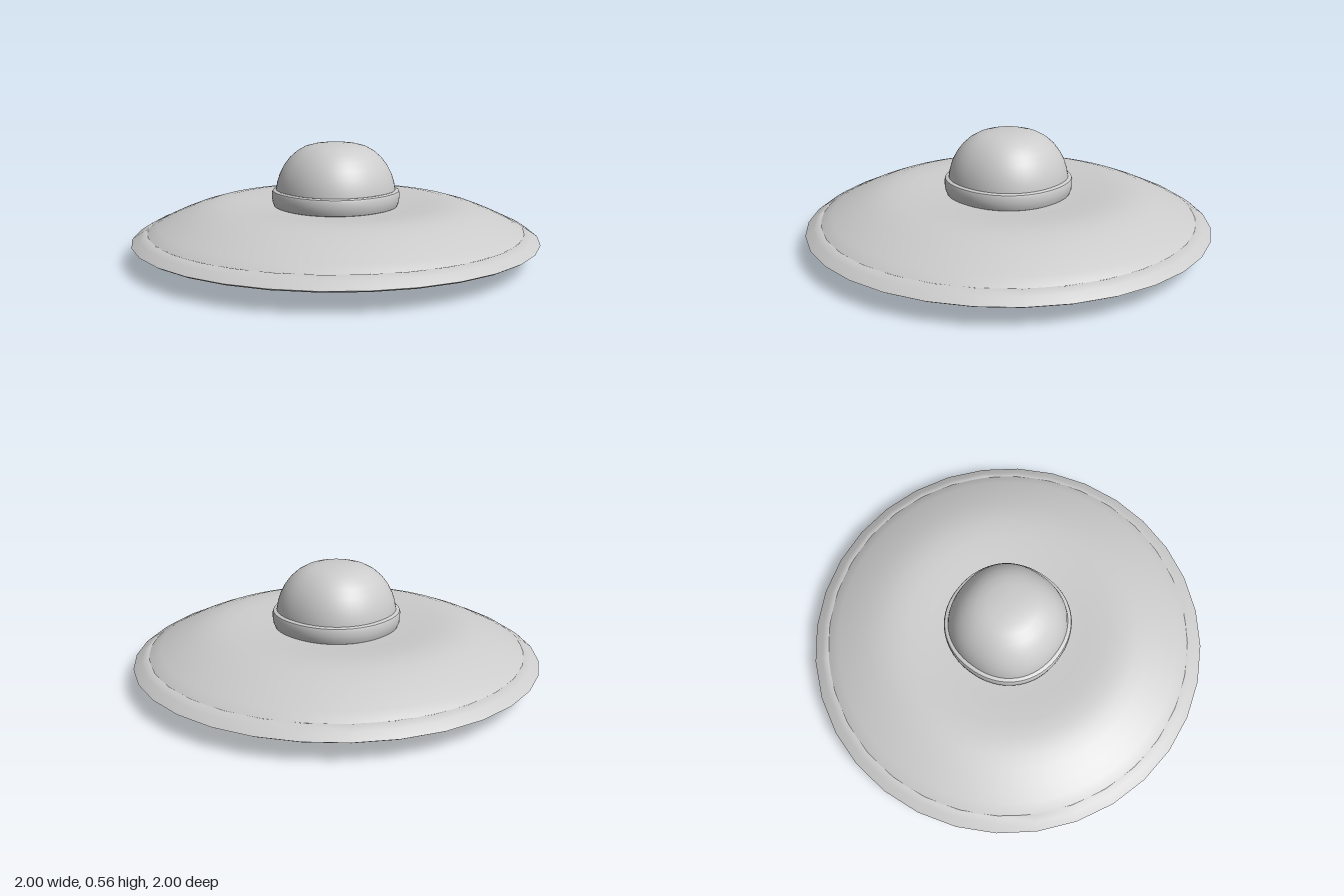
import * as THREE from 'three';
import { toCreasedNormals } from 'three/addons/utils/BufferGeometryUtils.js';

const material = new THREE.MeshStandardMaterial({ color: 0xcccccc });

// Turn a bottom-to-top profile of [radius, y]; a power above 2 squares the plan slightly.
function turned(name, profile, sides, power = 2, crease = 0.6) {
  const points = profile.map(([r, y]) => new THREE.Vector2(r, y));
  const geometry = new THREE.LatheGeometry(points, sides);
  const pos = geometry.attributes.position;
  if (power !== 2) {
    for (let i = 0; i < pos.count; i++) {
      const x = pos.getX(i), z = pos.getZ(i), r = Math.hypot(x, z);
      if (r < 1e-6) continue;
      const k = (Math.abs(x / r) ** power + Math.abs(z / r) ** power) ** (-1 / power);
      pos.setXYZ(i, x * k, pos.getY(i), z * k);
    }
  }
  const mesh = new THREE.Mesh(toCreasedNormals(geometry, crease), material);
  mesh.name = name;
  return mesh;
}

export function createModel() {
  const saucer = new THREE.Group();
  saucer.name = 'flyingSaucer';

  // Wide disc: nearly flat belly, domed shoulder, shallow dip around the cockpit
  saucer.add(turned('hull', [
    [0, 0.066], [0.3, 0.066], [0.6, 0.066], [0.75, 0.069], [0.87, 0.077], [0.95, 0.095],
    [0.955, 0.115], [0.93, 0.142], [0.87, 0.173], [0.8, 0.205], [0.72, 0.236],
    [0.65, 0.256], [0.58, 0.266], [0.5, 0.265], [0.4, 0.257], [0.3, 0.248], [0, 0.246],
  ], 64));

  // Faceted edge band wrapping the disc
  saucer.add(turned('rim', [
    [0.86, 0.075], [0.89, 0.076], [0.95, 0.084], [0.985, 0.093], [1, 0.102],
    [0.985, 0.113], [0.96, 0.129], [0.93, 0.147], [0.92, 0.145],
  ], 32, 2, 0.9));

  // Cockpit seat ring and canopy
  saucer.add(turned('collar', [
    [0.28, 0.24], [0.3, 0.25], [0.308, 0.27], [0.31, 0.29], [0.31, 0.315],
    [0.306, 0.326], [0.298, 0.331], [0.27, 0.331],
  ], 64, 2.15));
  saucer.add(turned('canopy', [
    [0.29, 0.3], [0.288, 0.33], [0.281, 0.37], [0.268, 0.41], [0.248, 0.45],
    [0.22, 0.488], [0.185, 0.52], [0.145, 0.543], [0.1, 0.555], [0.05, 0.561], [0, 0.562],
  ], 64, 2.2));

  // Stepped discs under the belly
  saucer.add(turned('lowerPlate', [
    [0, 0.045], [0.285, 0.045], [0.29, 0.05], [0.3, 0.07],
  ], 48));
  saucer.add(turned('lowerHatch', [
    [0, 0], [0.195, 0], [0.203, 0.006], [0.203, 0.05],
  ], 48));

  return saucer;
}
